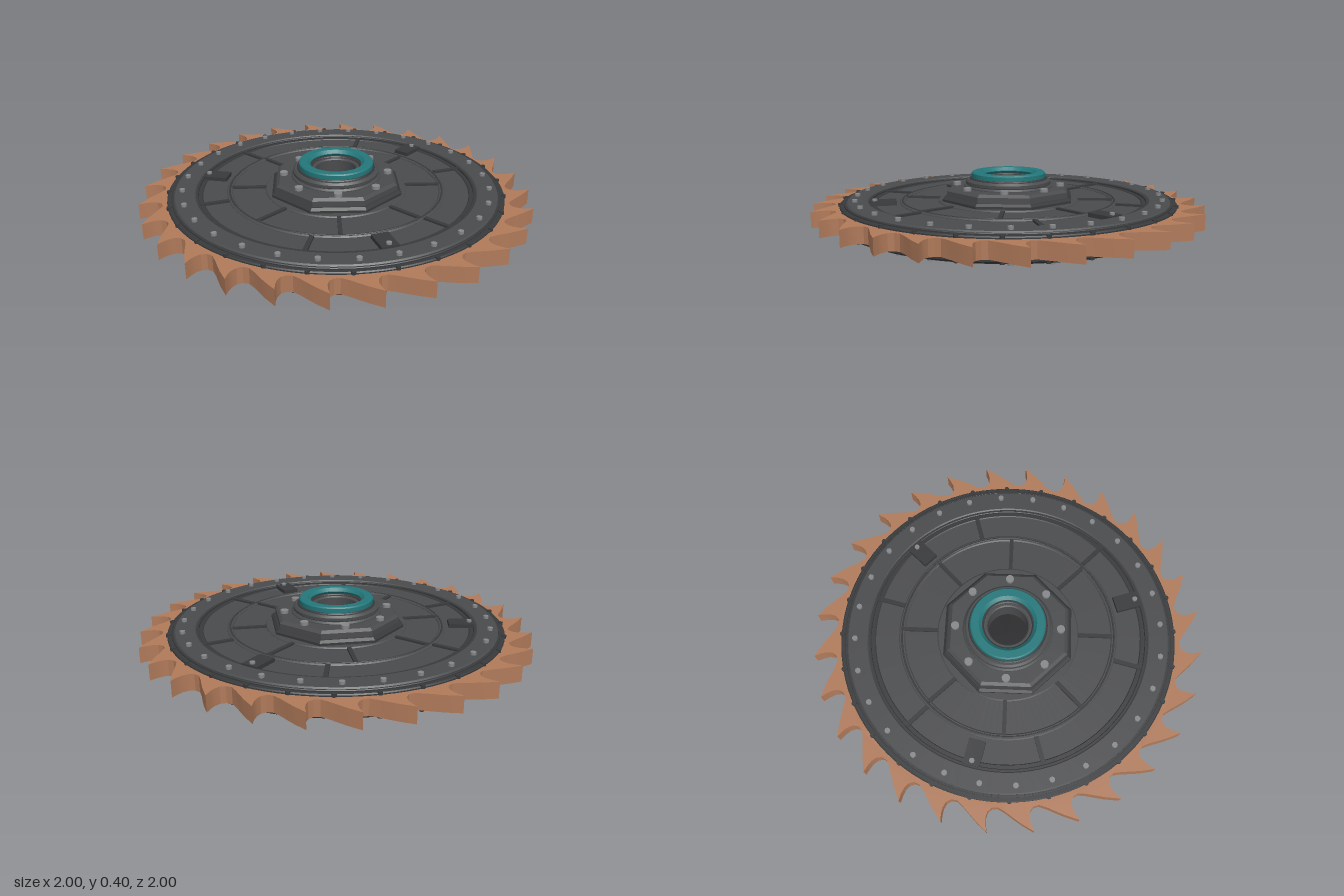
import * as THREE from 'three';
import { toCreasedNormals } from 'three/addons/utils/BufferGeometryUtils.js';

const MID = 0.2; // height of the blade's middle plane
const RAD = Math.PI / 180;
const TEETH = 28;
const STEP = 360 / TEETH;

const mat = (color) => new THREE.MeshStandardMaterial({ color });
const plate = mat(0x4a4b4d);
const dark = mat(0x38393b);
const steel = mat(0x85878a);
const teal = mat(0x23777a);
const copper = mat(0xb07a5a);
const black = mat(0x262628);

export function createModel() {
  const model = new THREE.Group();

  function add(name, geometry, material, parent = model) {
    const mesh = new THREE.Mesh(geometry, material);
    mesh.name = name;
    parent.add(mesh);
    return mesh;
  }

  // Put an object at radius r and angle t (degrees) with local x pointing outward
  function polar(object, r, t, y) {
    object.position.set(r * Math.cos(t * RAD), y, r * Math.sin(t * RAD));
    object.rotation.y = -t * RAD;
    return object;
  }

  function lathe(points, segments = 96) {
    const g = new THREE.LatheGeometry(points.map(([r, y]) => new THREE.Vector2(r, y)), segments);
    return toCreasedNormals(g, 0.5);
  }

  // Ring with chamfered outer and inner edges, between two heights
  function ring(name, r0, r1, ya, yb, material, c = 0.005, ci = c) {
    const y0 = Math.min(ya, yb), y1 = Math.max(ya, yb);
    const pts = [[r0, y0 + ci], [r0 + ci, y0], [r1 - c, y0], [r1, y0 + c],
      [r1, y1 - c], [r1 - c, y1], [r0 + ci, y1], [r0, y1 - ci], [r0, y0 + ci]];
    return add(name, lathe(pts), material);
  }

  function bolts(name, count, r, start, y, radius, height, material) {
    const group = new THREE.Group();
    group.name = name;
    const g = new THREE.CylinderGeometry(radius, radius, height, 10);
    for (let i = 0; i < count; i++) polar(add('bolt', g, material, group), r, start + i * 360 / count, y);
    model.add(group);
  }

  // Toothed blade: each tooth has a hooked face and a long hollow back
  const tooth = [[0, 1], [0.55, 0.965], [0.75, 0.935], [0.4, 0.907], [-0.8, 0.887],
    [-2.6, 0.883]].reverse();
  const back = [[1.4, 0.982], [3.4, 0.958], [5.6, 0.93], [8, 0.902]];
  const outline = [];
  for (let i = 0; i < TEETH; i++) {
    const tip = -86.4 + i * STEP;
    for (const [dt, r] of [...tooth, ...back]) {
      outline.push(new THREE.Vector2(r * Math.cos((tip + dt) * RAD), r * Math.sin((tip + dt) * RAD)));
    }
  }
  const bladeShape = new THREE.Shape(outline);
  bladeShape.holes.push(new THREE.Path().absarc(0, 0, 0.7, 0, Math.PI * 2, true));
  const bladeGeo = new THREE.ExtrudeGeometry(bladeShape, { depth: 0.08, bevelEnabled: false, curveSegments: 48 });
  bladeGeo.rotateX(Math.PI / 2).translate(0, 0.245, 0);
  add('toothedBlade', toCreasedNormals(bladeGeo, 0.5), copper);

  // Panelled plates, the same above and below
  for (const s of [1, -1]) {
    const at = (h) => MID + s * h;
    ring('facePlate', 0.13, 0.72, MID, at(0.052), plate);
    ring('rimPlate', 0.68, 0.86, at(0.02), at(0.056), dark);
    ring('boltRing', 0.715, 0.828, at(0.04), at(0.07), plate, 0.008);
    ring('rimSeam', 0.824, 0.838, at(0.04), at(0.064), dark, 0.003);
    ring('outerSeam', 0.704, 0.72, at(0.04), at(0.065), dark, 0.003);
    ring('middleSeam', 0.53, 0.562, at(0.04), at(0.06), plate, 0.006);
    ring('middleSeamEdge', 0.542, 0.551, at(0.04), at(0.063), dark, 0.002);
    ring('hubFlange', 0.12, 0.365, at(0.04), at(0.06), plate, 0.006);

    const ribs = new THREE.Group();
    ribs.name = 'panelRibs';
    const inner = new THREE.BoxGeometry(0.18, 0.018, 0.02);
    const outer = new THREE.BoxGeometry(0.15, 0.018, 0.022);
    for (let i = 0; i < 8; i++) polar(add('innerRib', inner, dark, ribs), 0.45, i * 45, at(0.053));
    for (let i = 0; i < 6; i++) polar(add('outerRib', outer, dark, ribs), 0.635, -76.5 + i * 60, at(0.053));
    model.add(ribs);

    // Clamp blocks on the outer panels
    for (let i = 0; i < 3; i++) {
      const clamp = new THREE.Group();
      clamp.name = 'clamp';
      add('clampBlock', new THREE.BoxGeometry(0.13, 0.034, 0.085), dark, clamp);
      const head = new THREE.CylinderGeometry(0.013, 0.013, 0.014, 10);
      add('clampBolt', head, steel, clamp).position.set(0.042, s * 0.02, 0);
      model.add(polar(clamp, 0.645, -47.5 + i * 120, at(0.055)));
    }

    bolts('ringBolts', TEETH, 0.785, -95, at(0.074), 0.014, 0.02, steel);
    bolts('rimBolts', TEETH, 0.855, -92.6, at(0.05), 0.012, 0.022, dark);

    // Stepped collar, sleeve and coloured bearing ring around the bore
    ring('lowerCollar', 0.12, 0.23, at(0.05), at(0.137), plate, 0.008);
    ring('upperCollar', 0.12, 0.22, at(0.13), at(0.165), plate, 0.01);
    ring('collarGroove', 0.12, 0.2, at(0.15), at(0.172), dark);
    ring('bearingRing', 0.13, 0.19, at(0.165), at(0.2), teal, 0.006, 0.016);
    ring('boreSleeve', 0.102, 0.14, at(0), at(0.165), plate, 0.006);
  }
  const core = new THREE.CylinderGeometry(0.11, 0.11, 0.12, 48);
  add('boreCore', core, black).position.y = MID;

  // Octagonal hub plate on top
  const k = 1 / Math.cos(Math.PI / 8);
  const octagon = (pts) => lathe(pts.map(([r, y]) => [r * k, y]), 8).rotateY(Math.PI / 8);
  add('octagonBase', octagon([[0.12, 0.25], [0.325, 0.25], [0.325, 0.272], [0.312, 0.284], [0.12, 0.284]]), dark);
  add('octagonPlate', octagon([[0.12, 0.28], [0.303, 0.28], [0.303, 0.312], [0.288, 0.325], [0.12, 0.325]]), plate);
  bolts('hubBolts', 8, 0.268, 0, 0.331, 0.021, 0.02, steel);

  // Four bracing arms with chamfered feet underneath
  const foot = new THREE.Shape([[-0.052, -0.07], [-0.018, -0.107], [0.018, -0.107], [0.052, -0.07],
    [0.052, 0.07], [0.018, 0.107], [-0.018, 0.107], [-0.052, 0.07]].map(([x, y]) => new THREE.Vector2(x, y)));
  const footGeo = new THREE.ExtrudeGeometry(foot, {
    depth: 0.055, bevelThickness: 0.006, bevelSize: 0.006, bevelOffset: -0.006, bevelSegments: 1,
  });
  footGeo.rotateX(Math.PI / 2).translate(0, 0.143, 0);
  for (let i = 0; i < 4; i++) {
    const arm = new THREE.Group();
    arm.name = 'braceArm';
    add('armBar', new THREE.BoxGeometry(0.3, 0.05, 0.06), plate, arm).position.set(0.34, 0.122, 0);
    add('armFoot', footGeo, plate, arm).position.x = 0.508;
    const head = new THREE.CylinderGeometry(0.014, 0.014, 0.03, 10);
    for (const [x, y, z] of [[0.275, 0.088, 0], [0.508, 0.08, 0.06], [0.508, 0.08, -0.06]]) {
      add('armBolt', head, steel, arm).position.set(x, y, z);
    }
    model.add(polar(arm, 0, i * 90, 0));
  }

  return model;
}
